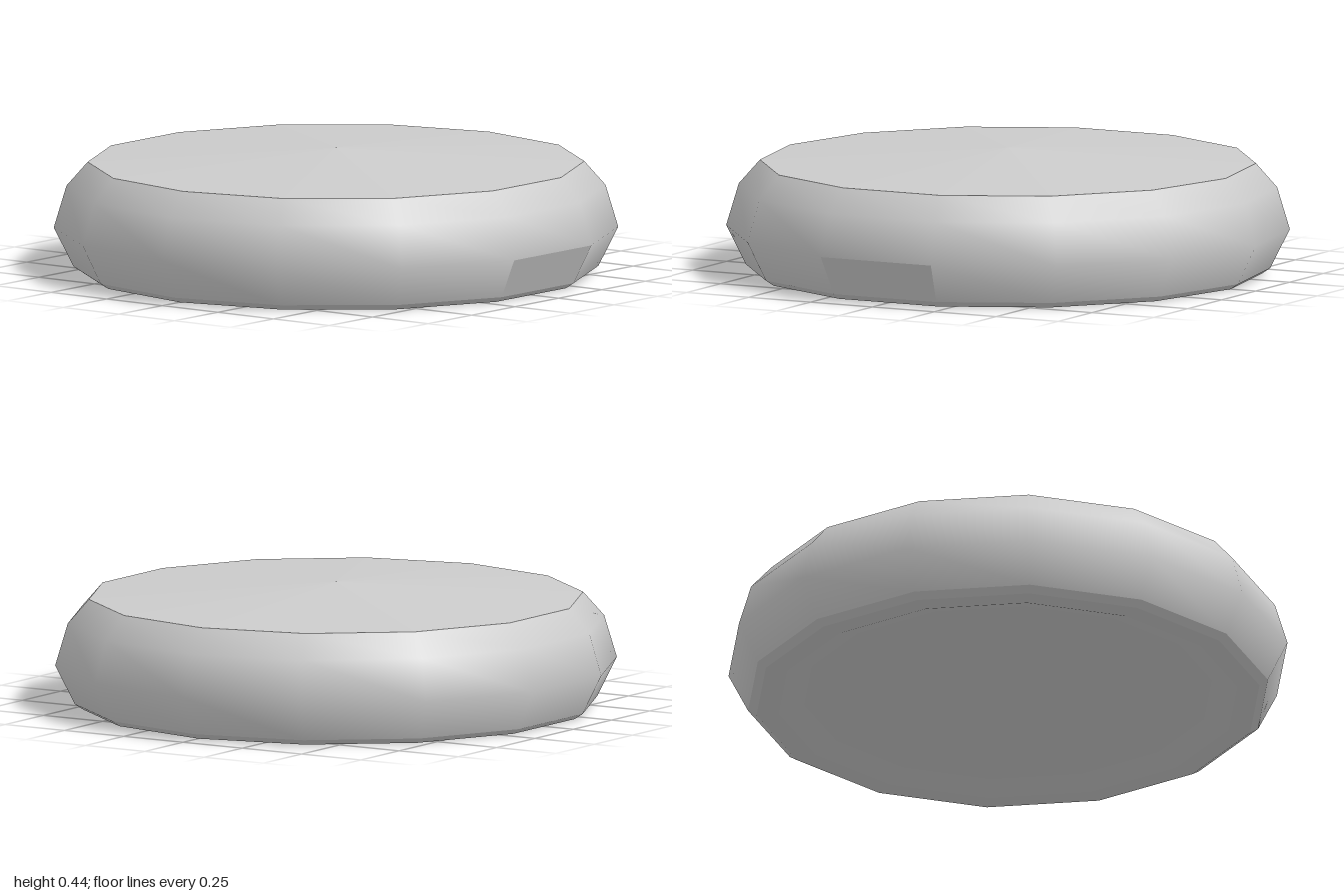
import * as THREE from 'three';

const SIDES = 14;
const STEP = (Math.PI * 2) / SIDES;

// Ring of facets, turned so that one facet faces the front
function ring(profile, start = STEP / 2, count = SIDES) {
  const points = profile.map(([r, y]) => new THREE.Vector2(r, y));
  return new THREE.LatheGeometry(points, count, start, STEP * count);
}

export function createModel() {
  const group = new THREE.Group();
  const smooth = new THREE.MeshStandardMaterial({ color: 0xcccccc });
  const flat = new THREE.MeshStandardMaterial({ color: 0xcccccc, flatShading: true });

  function add(name, geometry, material) {
    const mesh = new THREE.Mesh(geometry, material);
    mesh.name = name;
    group.add(mesh);
  }

  // Rounded side wall, leaving out the lower front facet
  const wallProfile = [[0.93, 0.02], [1, 0.16], [0.955, 0.31], [0.88, 0.395]];
  const wall = ring(wallProfile);
  const perSide = (wallProfile.length - 1) * 6;
  const lastSide = (SIDES - 1) * perSide;
  wall.setIndex(Array.from(wall.index.array).filter((_, i) => i < lastSide || i >= lastSide + 6));
  add('sideWall', wall, smooth);

  // Flat panel that fills the lower front facet
  add('frontPanel', ring(wallProfile.slice(0, 2), -STEP / 2, 1), flat);

  // Slightly raised lid
  add('top', ring([[0.88, 0.395], [0, 0.445]]), flat);

  // Bevelled foot ring and shallow recess underneath
  add('base', ring([[0, 0.03], [0.73, 0.03], [0.82, 0], [0.9, 0], [0.93, 0.02]]), flat);

  return group;
}
